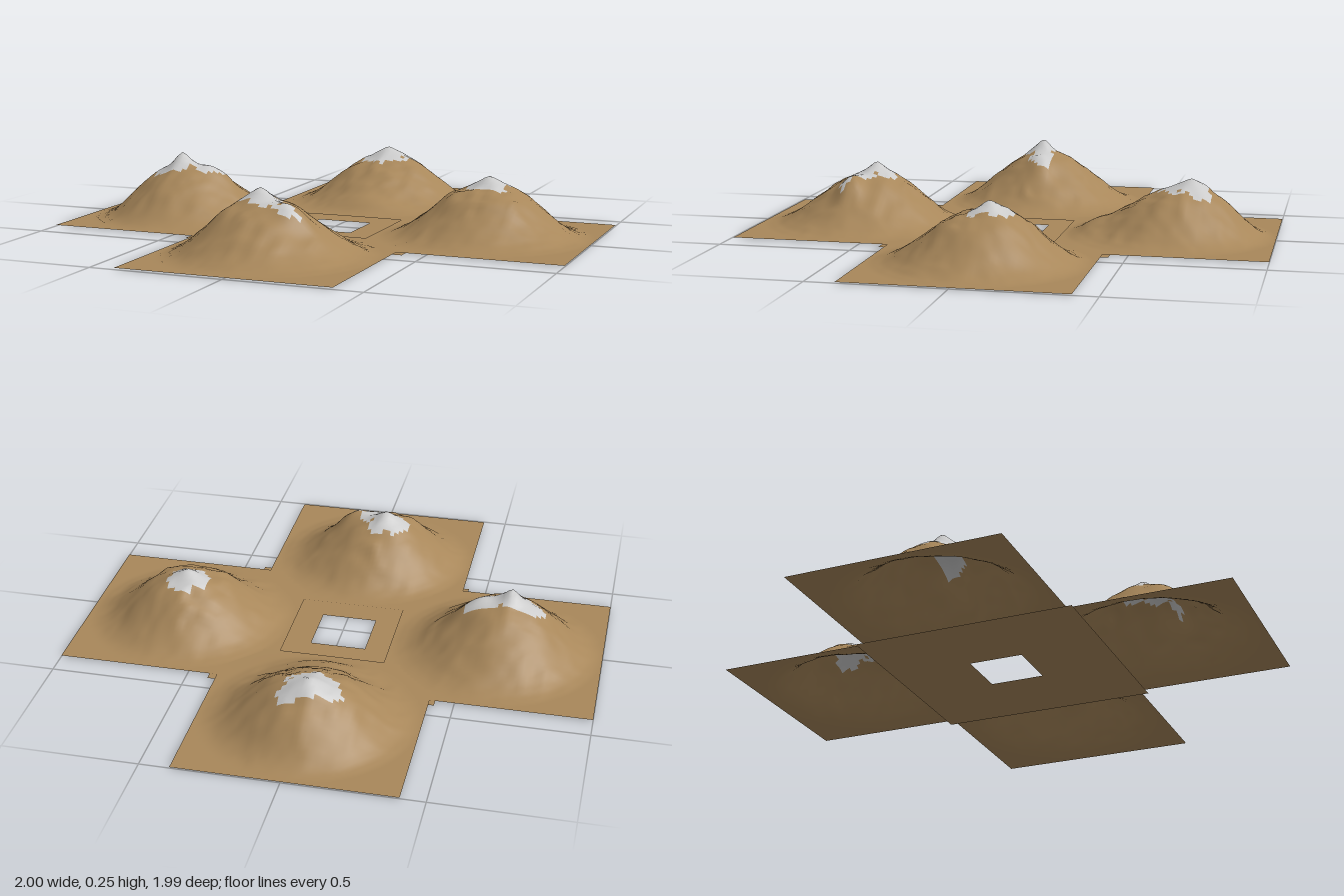
import * as THREE from 'three';

const TILE = 0.8, CELLS = 50, RIM = 0.385, GROUND = 0.004;

// Smooth value noise from a small integer hash, range -1..1
function hash(i, j) {
  let n = (Math.imul(i, 374761393) + Math.imul(j, 668265263)) | 0;
  n = Math.imul(n ^ (n >>> 13), 1274126177);
  return ((n ^ (n >>> 16)) >>> 0) / 2147483648 - 1;
}
function noise(x, z) {
  const i = Math.floor(x), j = Math.floor(z);
  const s = (t) => t * t * (3 - 2 * t);
  const u = s(x - i), v = s(z - j), mix = THREE.MathUtils.lerp;
  return mix(mix(hash(i, j), hash(i + 1, j), u), mix(hash(i, j + 1), hash(i + 1, j + 1), u), v);
}

// Slope profile from summit (0) to foot (1), in equal steps
const SLOPE = [1, 0.92, 0.84, 0.755, 0.65, 0.515, 0.375, 0.235, 0.115, 0.035, 0];
function slope(t) {
  if (t >= 1) return 0;
  const k = Math.floor(t * 10);
  return THREE.MathUtils.lerp(SLOPE[k], SLOPE[k + 1], t * 10 - k);
}

// Each mountain: tile centre, summit, bumps [x, z, height, rx, rz], snow ellipses [x, z, rx, rz]
const MOUNTAINS = [
  {
    name: 'right', c: [-0.6, -0.01], peak: [-0.645, 0.01], h: 0.225,
    bumps: [[-0.645, 0.015, 0.03, 0.035, 0.04], [-0.5, 0.0, 0.025, 0.08, 0.05], [-0.72, 0.01, 0.008, 0.04, 0.05]],
    snow: [[-0.67, 0.02, 0.1, 0.065], [-0.55, 0.0, 0.075, 0.045], [-0.5, -0.01, 0.025, 0.04]],
  },
  {
    name: 'left', c: [0.6, -0.01], peak: [0.6, -0.05], h: 0.215,
    bumps: [[0.6, -0.055, 0.01, 0.05, 0.04], [0.7, 0.08, 0.012, 0.06, 0.05], [0.48, 0.06, 0.01, 0.05, 0.06]],
    snow: [[0.595, -0.045, 0.085, 0.075], [0.61, -0.1, 0.05, 0.04]],
  },
  {
    name: 'back', c: [-0.01, -0.6], peak: [-0.03, -0.68], h: 0.208,
    bumps: [[-0.03, -0.69, 0.008, 0.06, 0.05], [0, -0.31, 0.02, 0.15, 0.06], [0.12, -0.6, 0.012, 0.06, 0.06]],
    snow: [[-0.035, -0.65, 0.09, 0.08], [-0.05, -0.68, 0.095, 0.05], [0.03, -0.72, 0.05, 0.045]],
  },
  {
    name: 'front', c: [-0.01, 0.59], peak: [-0.06, 0.56], h: 0.215,
    bumps: [[-0.065, 0.56, 0.018, 0.06, 0.05], [0.1, 0.63, 0.035, 0.07, 0.05], [-0.16, 0.65, 0.012, 0.04, 0.05]],
    snow: [[-0.08, 0.55, 0.075, 0.06], [-0.04, 0.52, 0.05, 0.045], [-0.02, 0.6, 0.07, 0.05], [0.08, 0.645, 0.055, 0.02]],
  },
];

function heightAt(m, x, z) {
  // Fraction of the way from the summit to the round foot, along the ray through (x, z)
  const dx = x - m.peak[0], dz = z - m.peak[1];
  const ox = m.peak[0] - m.c[0], oz = m.peak[1] - m.c[1];
  const d = Math.hypot(dx, dz) || 1e-6;
  const b = (ox * dx + oz * dz) / d;
  const reach = -b + Math.sqrt(b * b + RIM * RIM - ox * ox - oz * oz);
  const t = d / reach;
  let y = m.h * slope(t);
  for (const [bx, bz, bh, rx, rz] of m.bumps) {
    y += bh * Math.exp(-(((x - bx) / rx) ** 2) - ((z - bz) / rz) ** 2);
  }
  // Gullies and crags, fading out toward the foot
  const fade = Math.max(0, 1 - t) ** 0.8 * Math.min(1, 0.3 + t * 3);
  const crags = 0.6 - Math.abs(noise(x * 13 + 7, z * 13 + 3)) * 1.4;
  y += fade * (0.012 * crags + 0.006 * noise(x * 30, z * 30));
  return GROUND + Math.max(0, y);
}

function isSnow(m, x, z) {
  const ragged = 1 + 0.18 * noise(x * 45, z * 45);
  return m.snow.some(([sx, sz, rx, rz]) => Math.hypot((x - sx) / rx, (z - sz) / rz) < ragged);
}

function buildMountain(m, earth, snow) {
  const group = new THREE.Group();
  group.name = m.name + 'Mountain';
  const terrain = new THREE.PlaneGeometry(TILE, TILE, CELLS, CELLS);
  terrain.rotateX(-Math.PI / 2).translate(m.c[0], 0, m.c[1]);
  const p = terrain.attributes.position;
  for (let i = 0; i < p.count; i++) p.setY(i, heightAt(m, p.getX(i), p.getZ(i)));
  terrain.computeVertexNormals();

  // Split the cells into rock and snow, sharing the same smooth normals
  const index = terrain.index.array, rockFaces = [], snowFaces = [];
  for (let k = 0; k < index.length; k += 6) {
    const cell = Array.from(index.slice(k, k + 6));
    const x = (p.getX(cell[1]) + p.getX(cell[5])) / 2;
    const z = (p.getZ(cell[0]) + p.getZ(cell[1])) / 2;
    (isSnow(m, x, z) ? snowFaces : rockFaces).push(...cell);
  }
  for (const [name, faces, material] of [['slopes', rockFaces, earth], ['snowCap', snowFaces, snow]]) {
    const geometry = new THREE.BufferGeometry();
    geometry.setAttribute('position', p);
    geometry.setAttribute('normal', terrain.attributes.normal);
    geometry.setIndex(faces);
    const mesh = new THREE.Mesh(geometry, material);
    mesh.name = name;
    group.add(mesh);
  }
  return group;
}

// Flat square in the middle with a square opening
function buildCentre(earth) {
  const square = (path, a, b) => path.moveTo(a, a).lineTo(b, a).lineTo(b, b).lineTo(a, b).closePath();
  const shape = new THREE.Shape(), hole = new THREE.Path();
  square(shape, -0.425, 0.425);
  square(hole, -0.105, 0.105);
  shape.holes.push(hole);
  // Clipped corners keep the plate's tips small
  const geometry = new THREE.ShapeGeometry(shape);
  geometry.rotateX(-Math.PI / 2).translate(-0.005, 0, -0.01);
  const mesh = new THREE.Mesh(geometry, earth);
  mesh.name = 'centrePlain';
  return mesh;
}

export function createModel() {
  const model = new THREE.Group();
  model.name = 'mountainTerrain';
  const earth = new THREE.MeshStandardMaterial({ color: 0xa8875a, side: THREE.DoubleSide });
  const snow = new THREE.MeshStandardMaterial({ color: 0xcccccc, side: THREE.DoubleSide });
  for (const m of MOUNTAINS) model.add(buildMountain(m, earth, snow));
  model.add(buildCentre(earth));
  return model;
}
